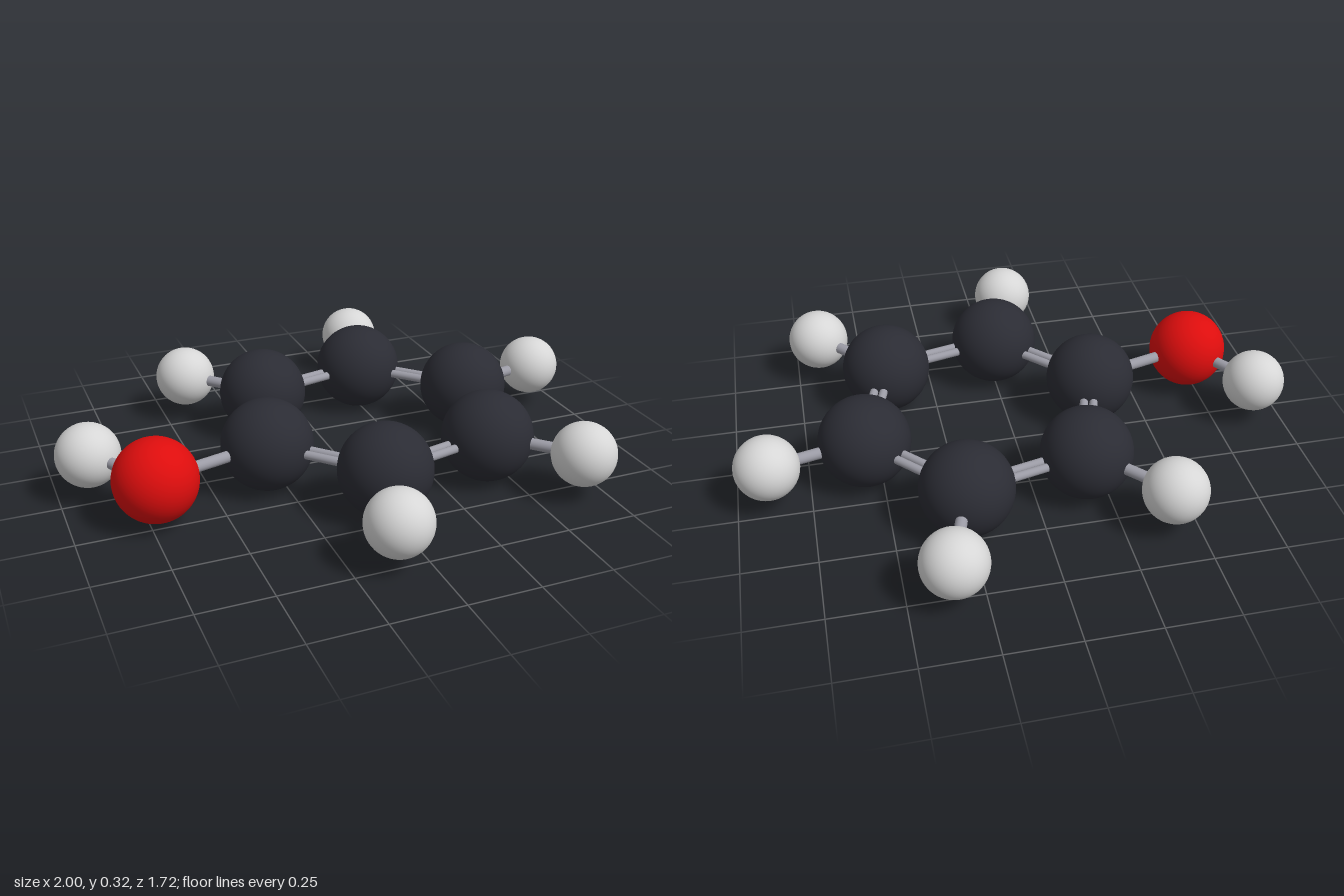
import * as THREE from 'three';

const material = (name, color) => {
  const m = new THREE.MeshStandardMaterial({ color });
  m.name = name;
  return m;
};

export function createModel() {
  const group = new THREE.Group();
  group.name = 'ringMolecule';
  const Y = 0.16;
  const carbonMat = material('charcoal', 0x2b2c34);
  const oxygenMat = material('red', 0xdd0d0d);
  const hydrogenMat = material('lightGrey', 0xd6d6d6);
  const bondMat = material('bondGrey', 0x9c9ca6);

  const at = ([x, z]) => new THREE.Vector3(x, Y, z);

  const addAtoms = (name, points, radius, mat) => {
    const geo = new THREE.SphereGeometry(radius, 48, 32);
    return points.map((p, i) => {
      const atom = new THREE.Mesh(geo, mat);
      atom.name = name + (i + 1);
      atom.position.copy(at(p));
      group.add(atom);
      return atom.position;
    });
  };

  // Rod between two atoms, optionally shifted sideways within the ring plane
  const addBond = (name, a, b, radius, shift = 0) => {
    const dir = b.clone().sub(a);
    const length = dir.length();
    dir.normalize();
    const rod = new THREE.Mesh(new THREE.CylinderGeometry(radius, radius, length, 20), bondMat);
    rod.name = name;
    rod.quaternion.setFromUnitVectors(new THREE.Vector3(0, 1, 0), dir);
    rod.position.copy(a).add(b).multiplyScalar(0.5);
    rod.position.x -= dir.z * shift;
    rod.position.z += dir.x * shift;
    group.add(rod);
  };

  // Six ring atoms, one side atom and the six outer atoms
  const carbons = addAtoms('carbon', [
    [-0.18, -0.325], [0.25, -0.425], [0.55, -0.105],
    [0.425, 0.32], [-0.005, 0.42], [-0.305, 0.1],
  ], 0.16, carbonMat);
  const [oxygen] = addAtoms('oxygen', [[-0.72, 0.21]], 0.142, oxygenMat);
  const hydrogens = addAtoms('hydrogen', [
    [-0.413, -0.577], [0.347, -0.755], [0.885, -0.183],
    [0.659, 0.567], [-0.105, 0.745], [-0.889, -0.047],
  ], 0.111, hydrogenMat);

  // Paired rods around the ring
  carbons.forEach((c, i) => {
    const next = carbons[(i + 1) % 6];
    for (const side of [-1, 1]) addBond('ringBond', c, next, 0.015, side * 0.017);
  });

  // Single rods to the outer atoms
  for (let i = 0; i < 5; i++) addBond('hydrogenBond', carbons[i], hydrogens[i], 0.02);
  addBond('oxygenBond', carbons[5], oxygen, 0.02);
  addBond('hydrogenBond', oxygen, hydrogens[5], 0.02);

  return group;
}
